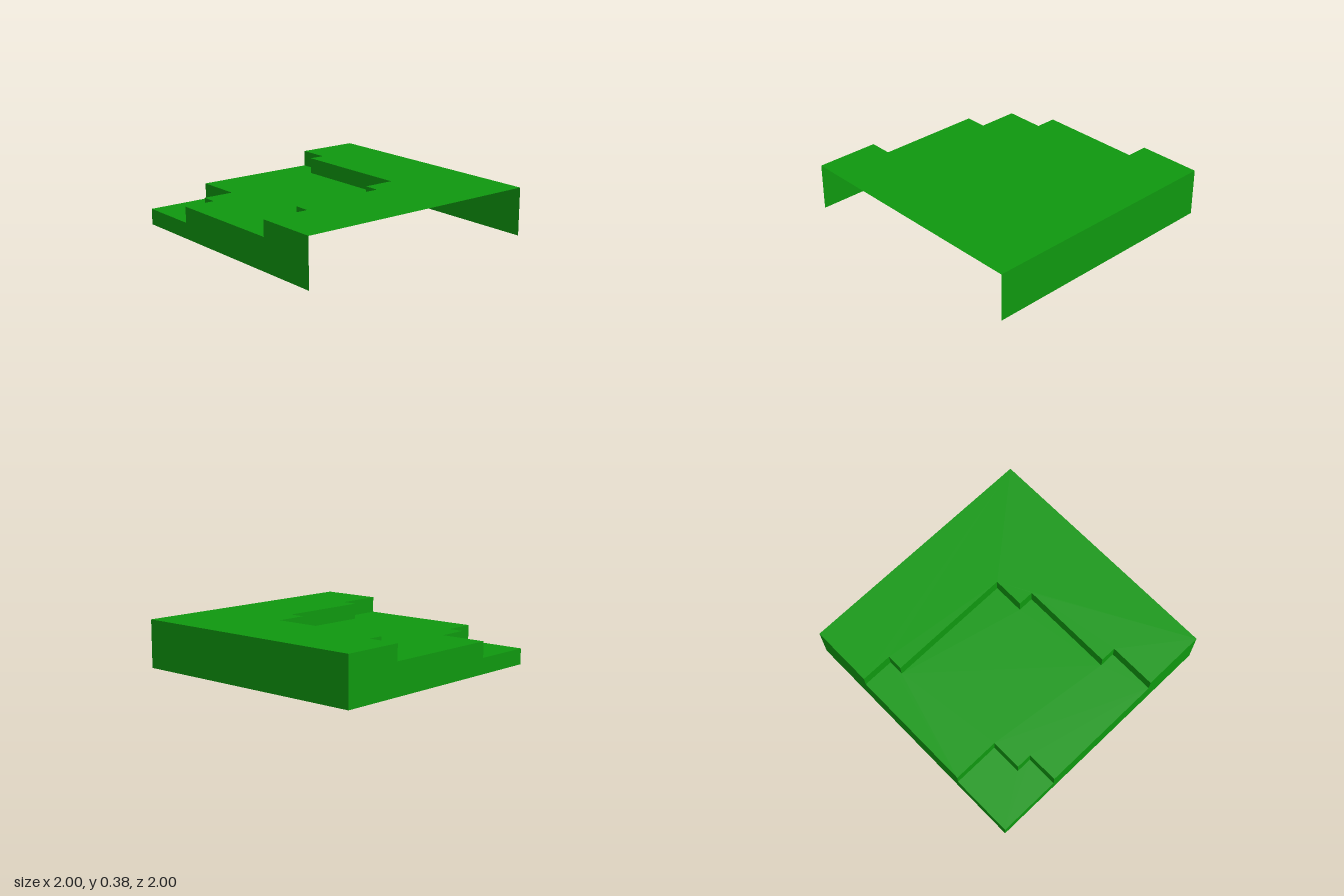
import * as THREE from 'three';

const LOW = 0.125, MID = 0.25, HIGH = 0.375;

// Stepped edges of the terraces as [x, z], running from the back edge to the -x edge
const upperEdge = [[0.5, -1], [0.5, -0.75], [0.375, -0.75], [0.375, 0.25], [0.125, 0.25],
  [0.125, 0.375], [-0.625, 0.375], [-0.625, 0.5], [-1, 0.5]];
const lowerEdge = [[-0.5, -1], [-0.5, -0.625], [-0.75, -0.625], [-0.75, -0.5], [-1, -0.5]];

// Flat horizontal sheet with the given outline, facing up
function sheet(outline, y) {
  const shape = new THREE.Shape(outline.map(([x, z]) => new THREE.Vector2(x, -z)));
  return new THREE.ShapeGeometry(shape).rotateX(-Math.PI / 2).translate(0, y, 0);
}

// Upright ribbon along a path of [x, z, top]; each stretch takes the top of its first point
function ribbon(path, bottom, fixedTop) {
  const pos = [];
  for (let i = 0; i < path.length - 1; i++) {
    const [ax, az, at] = path[i], [bx, bz] = path[i + 1];
    const top = fixedTop ?? at;
    pos.push(ax, bottom, az, bx, bottom, bz, bx, top, bz);
    pos.push(ax, bottom, az, bx, top, bz, ax, top, az);
  }
  const geo = new THREE.BufferGeometry();
  geo.setAttribute('position', new THREE.Float32BufferAttribute(pos, 3));
  geo.computeVertexNormals();
  return geo;
}

export function createModel() {
  const group = new THREE.Group();
  group.name = 'terracedTile';
  const green = new THREE.MeshStandardMaterial({ color: 0x0f980f, side: THREE.DoubleSide });
  green.name = 'grassGreen';
  const add = (name, geo) => {
    const mesh = new THREE.Mesh(geo, green);
    mesh.name = name;
    group.add(mesh);
  };

  // Three terraces
  add('upperTerrace', sheet([...upperEdge, [-1, 1], [1, 1], [1, -1]], HIGH));
  add('middleTerrace', sheet([...upperEdge, ...[...lowerEdge].reverse()], MID));
  add('lowerTerrace', sheet([...lowerEdge, [-1, -1]], LOW));

  // Risers between the terraces
  add('upperRiser', ribbon(upperEdge, MID, HIGH));
  add('lowerRiser', ribbon(lowerEdge, LOW, MID));

  // Outer walls; the front and the underside are open
  add('leftWall', ribbon([[1, 1], [1, -1]], 0, HIGH));
  add('backWall', ribbon([[1, -1, HIGH], [0.5, -1, MID], [-0.5, -1, LOW], [-1, -1]], 0));
  add('rightWall', ribbon([[-1, -1, LOW], [-1, -0.5, MID], [-1, 0.5, HIGH], [-1, 1]], 0));

  return group;
}
